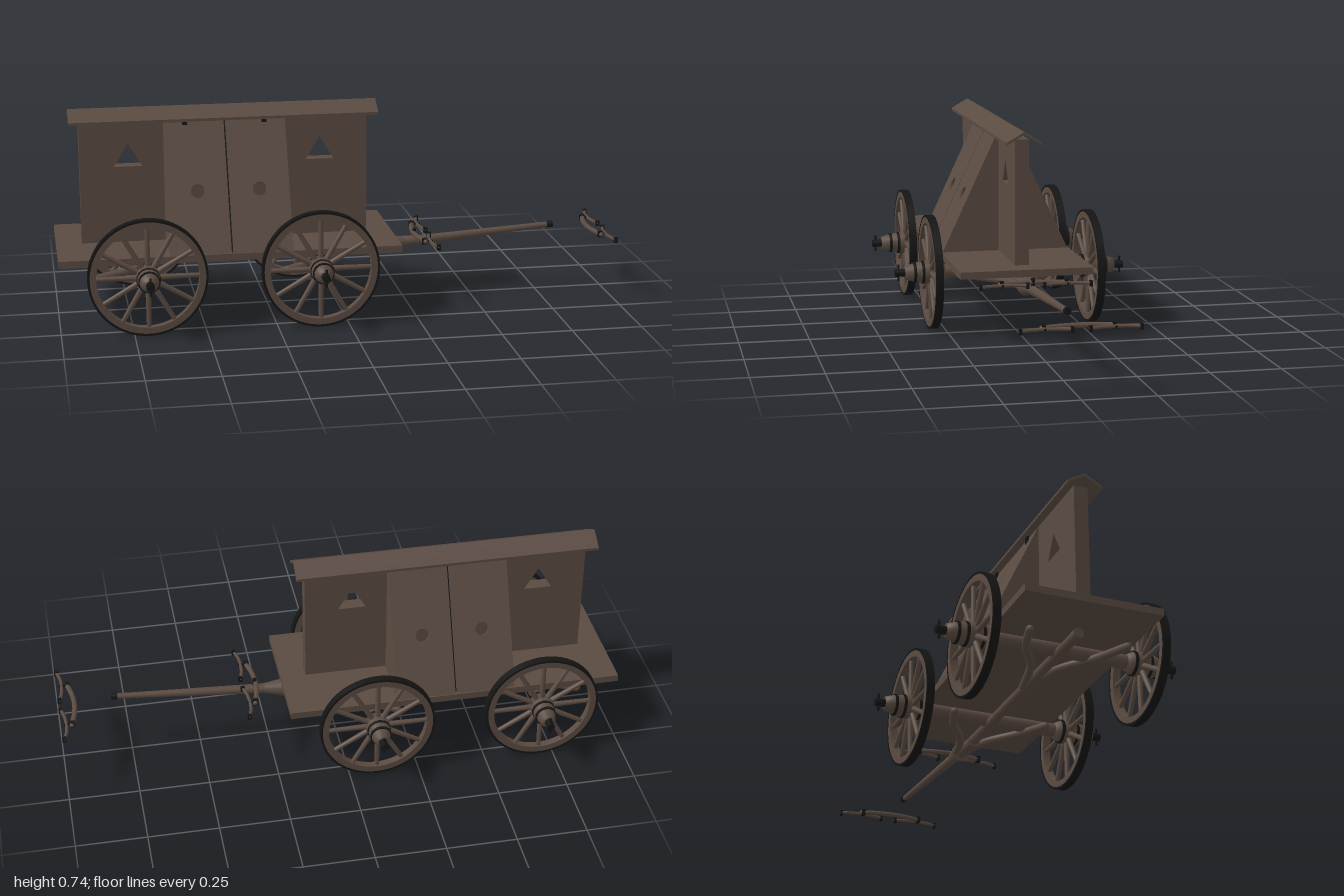
import * as THREE from 'three';

const wood = new THREE.MeshStandardMaterial({ color: 0x5a4b41 });
const iron = new THREE.MeshStandardMaterial({ color: 0x151515 });
const V = (x, y, z) => new THREE.Vector3(x, y, z);

function add(parent, name, geometry, material, x = 0, y = 0, z = 0) {
  const mesh = new THREE.Mesh(geometry, material);
  mesh.name = name;
  mesh.position.set(x, y, z);
  parent.add(mesh);
  return mesh;
}
const box = (p, name, mat, w, h, d, x, y, z) => add(p, name, new THREE.BoxGeometry(w, h, d), mat, x, y, z);

// Flat outline with optional holes, extruded and centred on z
function slab(points, holes, depth) {
  const shape = new THREE.Shape(points.map(([x, y]) => new THREE.Vector2(x, y)));
  shape.holes.push(...holes);
  return new THREE.ExtrudeGeometry(shape, { depth, bevelEnabled: false, curveSegments: 20 }).translate(0, 0, -depth / 2);
}
function ring(outer, inner, depth) {
  const shape = new THREE.Shape().absarc(0, 0, outer, 0, Math.PI * 2);
  shape.holes.push(new THREE.Path().absarc(0, 0, inner, 0, Math.PI * 2, true));
  return new THREE.ExtrudeGeometry(shape, { depth, bevelEnabled: false, curveSegments: 40 }).translate(0, 0, -depth / 2);
}
// Straight round bar between two points
function bar(parent, name, mat, a, b, ra, rb = ra) {
  const dir = b.clone().sub(a);
  const mesh = add(parent, name, new THREE.CylinderGeometry(rb, ra, dir.length(), 14), mat);
  mesh.position.copy(a).add(b).multiplyScalar(0.5);
  mesh.quaternion.setFromUnitVectors(V(0, 1, 0), dir.normalize());
  return mesh;
}
// Bent round bar with rounded ends
function bentBar(parent, name, pts, r) {
  add(parent, name, new THREE.TubeGeometry(new THREE.CatmullRomCurve3(pts), 24, r, 10), wood);
  for (const p of [pts[0], pts[pts.length - 1]])
    add(parent, name + 'End', new THREE.SphereGeometry(r, 10, 8), wood, p.x, p.y, p.z);
}

// Wheel with its outer side towards +z
function wheel() {
  const g = new THREE.Group();
  g.name = 'wheel';
  add(g, 'tyre', ring(0.207, 0.199, 0.028), iron);
  add(g, 'rim', ring(0.2, 0.177, 0.027), wood);
  for (let i = 0; i < 12; i++) {
    const a = (i / 12) * Math.PI * 2;
    const c = Math.cos(a), s = Math.sin(a);
    bar(g, 'spoke', wood, V(c * 0.03, s * 0.03, 0), V(c * 0.18, s * 0.18, 0), 0.01, 0.008);
  }
  const profile = [[0, -0.05], [0.028, -0.05], [0.041, -0.025], [0.044, 0], [0.041, 0.025], [0.035, 0.06], [0.025, 0.094], [0, 0.096]];
  const hub = new THREE.LatheGeometry(profile.map(([r, y]) => new THREE.Vector2(r, y)), 24).rotateX(Math.PI / 2);
  add(g, 'hub', hub, wood);
  for (const [z, r] of [[-0.025, 0.043], [0.03, 0.042], [0.06, 0.038]])
    bar(g, 'hubBand', iron, V(0, 0, z - 0.005), V(0, 0, z + 0.005), r);
  bar(g, 'axleEnd', iron, V(0, 0, 0.09), V(0, 0, 0.13), 0.014);
  box(g, 'linchPin', iron, 0.007, 0.062, 0.007, 0, 0, 0.118);
  return g;
}

// Bowed evener with two smaller swinging bars in front
function drawbars(x, y) {
  const g = new THREE.Group();
  g.name = 'drawbars';
  g.position.set(x, y, 0);
  bentBar(g, 'evener', [V(0.012, 0, -0.12), V(-0.002, 0, -0.06), V(-0.007, 0, 0), V(-0.002, 0, 0.06), V(0.012, 0, 0.12)], 0.009);
  for (const s of [-1, 1]) {
    bentBar(g, 'swingBar', [V(0.043, 0, s * 0.03), V(0.033, 0, s * 0.075), V(0.032, 0, s * 0.15), V(0.043, 0, s * 0.195)], 0.006);
    box(g, 'link', iron, 0.03, 0.007, 0.007, 0.024, 0, s * 0.115);
    box(g, 'evenerCap', iron, 0.018, 0.022, 0.014, 0.01, 0, s * 0.115);
    for (const z of [0.03, 0.195]) box(g, 'hook', iron, 0.014, 0.02, 0.01, 0.044, -0.001, s * z);
  }
  return g;
}

export function createModel() {
  const model = new THREE.Group();
  model.name = 'wagon';

  box(model, 'platform', wood, 1.2, 0.025, 0.48, -0.4, 0.2475, 0);

  // Upright wall with a triangular opening near each end
  const triangle = (x) => new THREE.Path([[x - 0.05, 0.533], [x, 0.617], [x + 0.05, 0.533]].map(([a, b]) => new THREE.Vector2(a, b)));
  add(model, 'centreWall', slab([[-0.91, 0.26], [0.11, 0.26], [0.11, 0.71], [-0.91, 0.71]], [triangle(-0.74), triangle(-0.06)], 0.05), wood);

  // Cabinet with sloping doors on both sides
  const cabinet = new THREE.Group();
  cabinet.name = 'cabinet';
  cabinet.position.x = -0.4;
  model.add(cabinet);
  const end = slab([[-0.233, 0.26], [0.233, 0.26], [0.025, 0.708], [-0.025, 0.708]], [], 0.015).rotateY(Math.PI / 2);
  for (const s of [-1, 1]) add(cabinet, 'cabinetEnd', end, wood, s * 0.207);
  const slope = Math.atan2(0.21, 0.45);
  const length = Math.hypot(0.21, 0.45);
  for (const turn of [0, Math.PI]) {
    const side = new THREE.Group();
    side.name = 'doorPair';
    side.rotation.y = turn;
    cabinet.add(side);
    for (const s of [-1, 1]) {
      const hole = new THREE.Path().absarc(0, 0.226, 0.024, 0, Math.PI * 2, true);
      const panel = slab([[-0.1055, 0], [0.1055, 0], [0.1055, length], [-0.1055, length]], [hole], 0.012).translate(0, 0, -0.006);
      const door = add(side, 'door', panel, wood, s * 0.1085, 0.258, 0.236);
      door.rotation.x = -slope;
      box(side, 'hinge', iron, 0.018, 0.032, 0.008, s * 0.14, 0.69, 0.036);
    }
    box(side, 'doorBacking', iron, 0.012, length, 0.003, 0, 0.258 + 0.225, 0.118).rotation.x = -slope;
  }

  // Gabled roof cap
  const roof = slab([[-0.063, 0.694], [-0.063, 0.704], [0, 0.741], [0.063, 0.704], [0.063, 0.694], [0, 0.731]], [], 1.09).rotateY(Math.PI / 2);
  add(model, 'roof', roof, wood, -0.4);

  // Running gear
  for (const x of [-0.7, -0.1]) {
    bar(model, 'axle', wood, V(x, 0.207, -0.26), V(x, 0.207, 0.26), 0.024);
    for (const s of [-1, 1]) {
      const w = wheel();
      w.position.set(x, 0.207, s * 0.295);
      if (s < 0) w.rotation.y = Math.PI;
      model.add(w);
    }
  }
  bar(model, 'reachPole', wood, V(-0.87, 0.192, 0), V(0.2, 0.192, 0), 0.018);
  for (const s of [-1, 1]) {
    bentBar(model, 'frontHound', [V(0.22, 0.195, s * 0.008), V(0.07, 0.196, s * 0.045), V(-0.07, 0.187, s * 0.125), V(-0.2, 0.171, s * 0.17)], 0.014);
    bentBar(model, 'rearHound', [V(-0.43, 0.193, s * 0.01), V(-0.58, 0.196, s * 0.045), V(-0.73, 0.187, s * 0.125), V(-0.87, 0.173, s * 0.17)], 0.014);
  }

  // Tongue and drawbars
  bar(model, 'tongue', wood, V(0.05, 0.187, 0), V(0.8, 0.243, 0), 0.021, 0.01);
  bar(model, 'tongueTip', iron, V(0.79, 0.2425, 0), V(0.812, 0.244, 0), 0.012);
  bar(model, 'tongueSocket', wood, V(0.18, 0.197, 0), V(0.26, 0.203, 0), 0.034, 0.018);
  bar(model, 'drawPin', iron, V(0.293, 0.19, 0), V(0.293, 0.25, 0), 0.007);
  model.add(drawbars(0.297, 0.234), drawbars(0.951, 0.229));

  return model;
}
